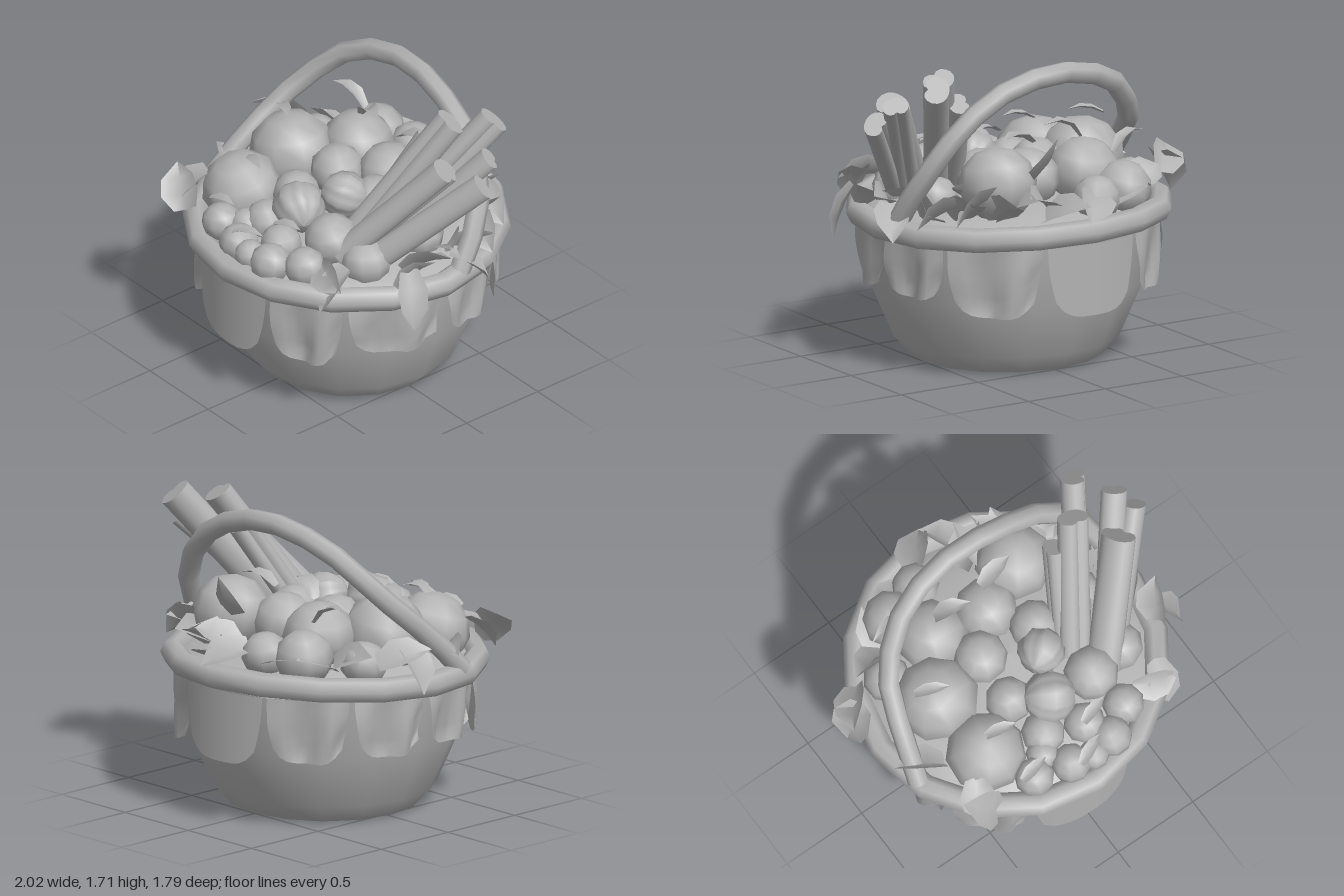
import * as THREE from 'three';

const clay = new THREE.MeshStandardMaterial({ color: 0xb2b2b2 });
clay.name = 'grey clay';
clay.side = THREE.DoubleSide;
const V = (a) => new THREE.Vector3(...a);

export function createModel() {
  const root = new THREE.Group();
  root.name = 'fruitBasket';
  const add = (name, geometry, parent = root) => {
    const mesh = new THREE.Mesh(geometry, clay);
    mesh.name = name;
    parent.add(mesh);
    return mesh;
  };
  const group = (name) => {
    const g = new THREE.Group();
    g.name = name;
    root.add(g);
    return g;
  };

  // Grid surface from a rule (u, v) -> point
  const patch = (nu, nv, rule) => {
    const pos = [], idx = [];
    for (let j = 0; j <= nv; j++) for (let i = 0; i <= nu; i++) pos.push(...rule(i / nu, j / nv));
    for (let j = 0; j < nv; j++) for (let i = 0; i < nu; i++) {
      const a = j * (nu + 1) + i, b = a + nu + 1;
      idx.push(a, b, a + 1, b, b + 1, a + 1);
    }
    const g = new THREE.BufferGeometry();
    g.setAttribute('position', new THREE.Float32BufferAttribute(pos, 3));
    g.setIndex(idx);
    g.computeVertexNormals();
    return g;
  };

  // Bowl, a little narrower front to back, and the filling that carries the fruit
  const lathe = (pts) => new THREE.LatheGeometry(pts.map((p) => new THREE.Vector2(...p)), 16);
  const bowl = add('bowl', lathe([[0, 0], [0.5, 0], [0.54, 0.01], [0.63, 0.11], [0.765, 0.42], [0.81, 0.76]]));
  bowl.position.x = -0.015;
  bowl.scale.z = 0.97;
  add('filling', lathe([[0.82, 0.8], [0.72, 0.87], [0.5, 0.92], [0, 0.96]])).position.x = -0.02;

  // Rim: slightly uneven ring
  const rim = [];
  for (let i = 0; i < 14; i++) {
    const a = (i / 14) * Math.PI * 2;
    rim.push(new THREE.Vector3(-0.03 + 0.835 * Math.sin(a), 0.818 + 0.015 * Math.sin(2 * a + 1) - 0.012 * Math.cos(a), 0.825 * Math.cos(a)));
  }
  add('rim', new THREE.TubeGeometry(new THREE.CatmullRomCurve3(rim, true), 16, 0.07, 7, true));

  // Handle leaning towards the back
  const arch = [[-0.82, 0.83, 0.28], [-0.78, 1.02, 0.1], [-0.69, 1.28, -0.18], [-0.45, 1.54, -0.37], [-0.1, 1.645, -0.44],
    [0.25, 1.59, -0.43], [0.52, 1.43, -0.41], [0.68, 1.22, -0.35], [0.76, 1.02, -0.24], [0.79, 0.83, -0.12]];
  add('handle', new THREE.TubeGeometry(new THREE.CatmullRomCurve3(arch.map(V)), 14, 0.06, 7));

  // Cloth flaps: [start angle, end angle, drop, fold depth]
  const flaps = group('clothFlaps');
  [[-25, 18, 0.43, 0], [20, 49, 0.39, 0.07], [51, 90, 0.33, 0.08], [92, 121, 0.32, 0.07], [123, 160, 0.39, 0.07],
    [162, 202, 0.4, 0], [204, 236, 0.36, 0.07], [238, 268, 0.34, 0.07], [270, 301, 0.33, 0.07], [303, 333, 0.38, 0.07]]
    .forEach(([a0, a1, drop, fold], k) => {
      const mid = (a0 + a1) / 2, half = (a1 - a0) / 2;
      const g = patch(10, 7, (u, v) => {
        const s = 2 * u - 1;
        const a = THREE.MathUtils.degToRad(mid + s * half * (1 - 0.17 * v * v));
        const y = 0.77 - drop * v * (1 - 0.22 * Math.pow(Math.abs(s), 4));
        const wave = Math.cos(s * Math.PI * 1.5 + v * 2.5 * Math.abs(s) + (k % 3) * 0.4);
        const r = 0.822 - fold * Math.sin(v * Math.PI * 0.85) * (wave > 0 ? wave : wave * 0.25);
        const rr = Math.max(r, 0.775 + 0.13 * (y - 0.42));
        return [-0.025 + rr * Math.sin(a), y, rr * Math.cos(a)];
      });
      add('clothFlap', g, flaps);
    });

  // Fruit: [x, y, z, radius]
  const fruits = group('fruits');
  [[-0.5, 1.02, 0.0, 0.235], [-0.45, 0.96, 0.39, 0.22], [-0.17, 1.04, -0.05, 0.15], [0.02, 1.03, -0.26, 0.175],
    [-0.31, 1.03, -0.31, 0.2], [0.18, 1.03, -0.03, 0.14], [-0.18, 1.0, 0.23, 0.13], [0.28, 0.98, 0.36, 0.15],
    [0.3, 1.06, -0.39, 0.215], [0.5, 0.94, -0.08, 0.13], [0.5, 0.92, 0.3, 0.14], [-0.2, 0.96, -0.61, 0.13],
    [-0.42, 0.97, -0.53, 0.16], [-0.63, 0.93, -0.28, 0.13],
    [-0.13, 0.95, 0.48, 0.12], [0.09, 0.94, 0.56, 0.115], [-0.31, 0.92, 0.65, 0.11], [-0.1, 0.91, 0.7, 0.11],
    [0.17, 0.91, 0.7, 0.115], [0.33, 0.92, 0.59, 0.115], [0.03, 0.91, 0.73, 0.085], [-0.2, 0.93, 0.57, 0.09]]
    .forEach(([x, y, z, r], i) => {
      const f = add('fruit', new THREE.SphereGeometry(r * 1.02, 9, 6), fruits);
      f.position.set(x, y, z);
      f.rotation.set(0.2 * Math.sin(i), i, 0.2 * Math.cos(i));
      f.scale.y = 0.95;
    });

  // Ridged nuts lying on top
  [[0.11, 1.09, 0.13, 0.13, 0.6], [0.0, 1.05, 0.36, 0.145, -0.5]].forEach(([x, y, z, r, turn]) => {
    const g = new THREE.SphereGeometry(r, 24, 6);
    const p = g.attributes.position;
    for (let i = 0; i < p.count; i++) {
      const k = 0.97 + 0.07 * Math.cos(8 * Math.atan2(p.getZ(i), p.getX(i)));
      p.setXYZ(i, p.getX(i) * k, p.getY(i), p.getZ(i) * k);
    }
    g.computeVertexNormals();
    const nut = add('ridgedNut', g, fruits);
    nut.position.set(x, y, z);
    nut.rotation.set(0, turn, 1.3);
  });

  // Bundle of grooved bark rolls: [bottom, top, radius]
  const sticks = group('barkSticks');
  [[[0.29, 0.95, 0.2], [0.58, 1.65, -0.23], 0.09], [[0.39, 0.95, 0.1], [0.72, 1.655, -0.42], 0.09],
    [[0.37, 0.92, 0.35], [0.76, 1.49, -0.05], 0.1], [[0.5, 0.95, 0.2], [0.88, 1.55, -0.26], 0.072],
    [[0.5, 0.9, 0.28], [0.945, 1.44, -0.16], 0.075], [[0.27, 0.98, 0.1], [0.43, 1.49, -0.2], 0.075]]
    .forEach(([b, t, r], i) => {
      const bottom = V(b), top = V(t), dir = top.clone().sub(bottom);
      const g = new THREE.CylinderGeometry(r, r, dir.length(), 18, 1);
      const p = g.attributes.position;
      for (let k = 0; k < p.count; k++) {
        const a = Math.atan2(p.getZ(k), p.getX(k));
        const s = 0.9 + 0.1 * Math.cos(2 * a) - 0.3 * Math.exp(-8 * (a - 1.57) ** 2);
        p.setXYZ(k, p.getX(k) * s, p.getY(k), p.getZ(k) * s);
      }
      g.computeVertexNormals();
      g.rotateY(i * 0.9);
      const m = add('barkStick', g, sticks);
      m.position.copy(bottom).lerp(top, 0.5);
      m.quaternion.setFromUnitVectors(new THREE.Vector3(0, 1, 0), dir.normalize());
    });

  // Broad angular leaves folded along the middle: base, tip, width, arch height, roll
  const leaves = group('leaves');
  const leaf = (base, tip, width, lift = 0.05, roll = 0) => {
    const b = V(base), d = V(tip).sub(b), n = d.clone().normalize();
    const side = new THREE.Vector3(0, 1, 0).cross(n).normalize().applyAxisAngle(n, roll);
    const up = n.clone().cross(side);
    add('leaf', patch(2, 3, (u, v) => {
      const s = 2 * u - 1, w = (width / 2) * [0.6, 1, 0.85, 0][Math.round(v * 3)];
      return b.clone().addScaledVector(d, v).addScaledVector(side, s * w)
        .addScaledVector(up, lift * Math.sin(v * Math.PI) + Math.abs(s) * w * 0.5).toArray();
    }), leaves);
  };
  // Leaves around the rim: [angle, radius, height, rise, roll]
  [[-72, 0.8, 0.92, 0.05, 0.5], [84, 0.78, 0.93, 0.12, -0.6], [100, 0.75, 0.95, 0.15, 0.5], [110, 0.78, 0.9, 0.1, -0.8],
    [120, 0.79, 0.92, -0.12, 0.6], [128, 0.76, 0.95, 0.15, -0.5], [135, 0.77, 0.97, -0.15, 0.6], [144, 0.74, 0.95, 0.12, -0.7],
    [128, 0.6, 1.0, 0.15, 0.6], [152, 0.7, 0.96, 0.15, 0.5], [163, 0.66, 0.98, 0.12, -0.5], [172, 0.76, 0.94, 0.1, 0.5],
    [184, 0.79, 0.95, -0.1, -0.5], [208, 0.72, 0.95, 0.1, 0.5], [223, 0.74, 0.95, 0.1, -0.5], [238, 0.74, 0.96, 0.1, 0.6]]
    .forEach(([deg, r, y, rise, roll], i) => {
      const a = THREE.MathUtils.degToRad(deg), o = (i % 2 ? -1 : 1) * 0.12;
      leaf([(r - 0.1) * Math.sin(a + o) - 0.02, y - rise / 2, (r - 0.1) * Math.cos(a + o)],
        [(r + 0.1) * Math.sin(a - o) - 0.02, y + rise / 2, (r + 0.1) * Math.cos(a - o)], 0.21, 0.02, roll);
    });
  // Leaves spilling over the rim at the sides and the front corners
  leaf([-0.8, 0.96, -0.33], [-0.98, 1.05, -0.1], 0.2, 0.02, 0.6);
  leaf([-0.84, 1.04, -0.2], [-0.98, 0.8, -0.16], 0.24, 0.02);
  leaf([-0.58, 0.87, 0.67], [-0.75, 1.07, 0.6], 0.22, 0.02, -0.6);
  leaf([-0.6, 1.04, 0.5], [-0.68, 0.86, 0.66], 0.2, 0.02);
  leaf([0.42, 0.95, 0.55], [0.68, 0.93, 0.62], 0.18, 0.02, 0.9);
  leaf([0.6, 1.0, 0.5], [0.57, 0.77, 0.68], 0.18, 0.02);
  leaf([0.8, 1.0, 0.25], [0.92, 0.68, 0.3], 0.17, 0.02);
  leaf([0.78, 0.88, 0.3], [0.88, 1.03, 0.12], 0.2, 0.02, -0.7);
  leaf([0.78, 0.95, -0.06], [0.89, 0.78, -0.25], 0.2, 0.02);

  // Tall leaf at the back and small ones on the fruit
  leaf([0.2, 1.02, -0.4], [0.1, 1.35, -0.68], 0.13, -0.06);
  leaf([-0.28, 1.23, -0.32], [-0.08, 1.31, -0.26], 0.1);
  leaf([-0.42, 1.15, -0.45], [-0.64, 1.24, -0.4], 0.08);
  leaf([0.03, 1.24, -0.32], [0.25, 1.29, -0.36], 0.1, 0.03);
  [[-0.55, 1.25, 0.02], [-0.36, 1.16, 0.4], [-0.32, 1.03, 0.65], [0.0, 1.01, 0.73], [0.14, 1.06, 0.57]]
    .forEach(([x, y, z], i) => leaf([x - 0.08, y, z - 0.04 * Math.cos(i)], [x + 0.1, y + 0.03, z + 0.04 * Math.cos(i)], 0.07, 0.02));

  return root;
}
